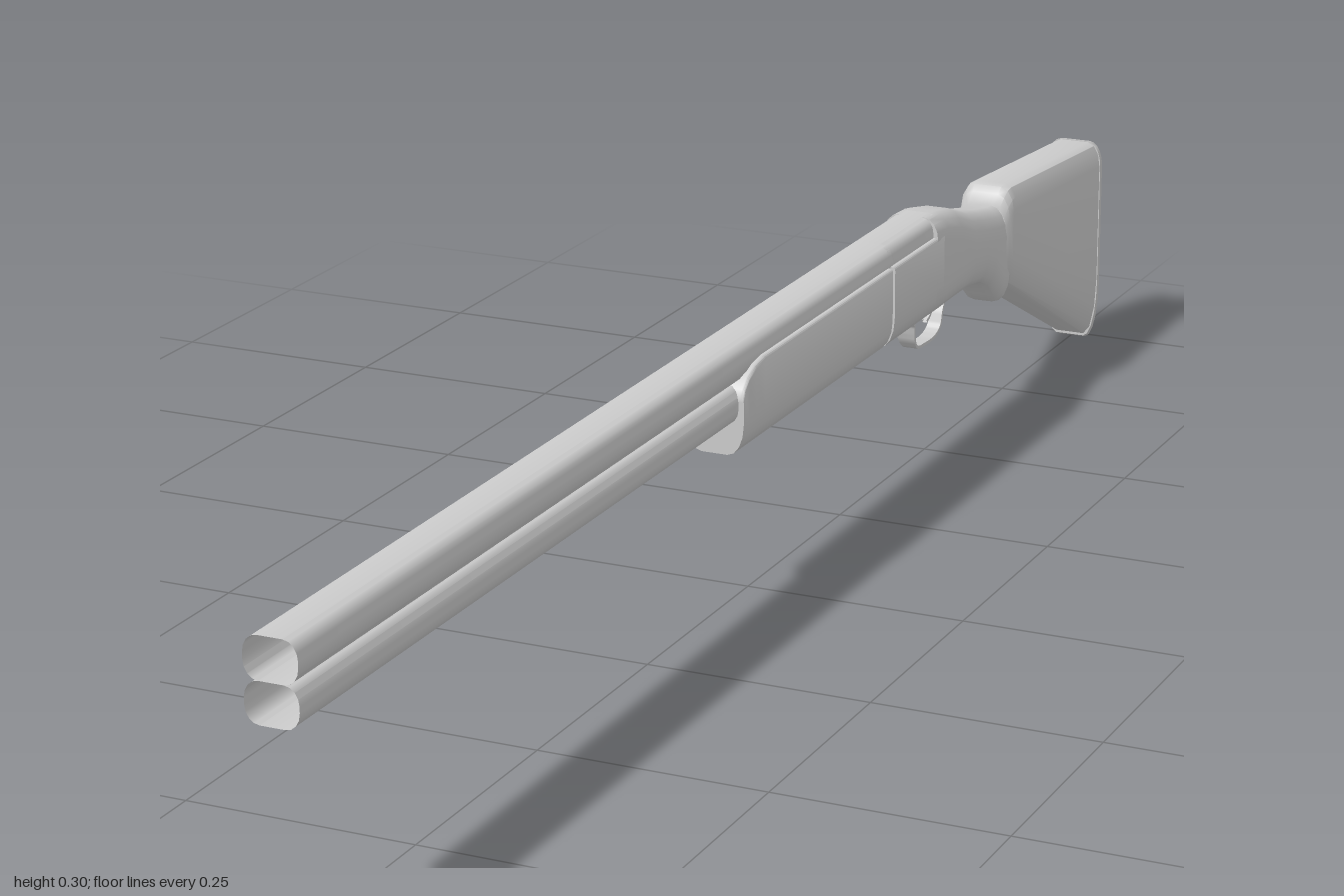
import * as THREE from 'three';
import { toCreasedNormals } from 'three/addons/utils/BufferGeometryUtils.js';

const grey = new THREE.MeshStandardMaterial({ color: 0xcccccc });
const greyDouble = new THREE.MeshStandardMaterial({ color: 0xcccccc, side: THREE.DoubleSide });

// Closed outline with elliptical corners, counter-clockwise seen from +z.
// flatTop / flatBot: half width of the flats; hTop / hBot: height of the corners.
function ring([z, top, bot, half, flatTop, hTop, flatBot, hBot], segs) {
  const corners = [
    [1, top, flatTop, hTop, 0], [-1, top, flatTop, hTop, 1],
    [-1, bot, flatBot, -hBot, 0], [1, bot, flatBot, -hBot, 1],
  ];
  const points = [];
  for (const [side, y, flat, h, reverse] of corners) {
    for (let i = 0; i <= segs; i++) {
      const a = ((reverse ? segs - i : i) / segs) * Math.PI / 2;
      points.push([side * (flat + (half - flat) * Math.cos(a)), y - h + h * Math.sin(a), z]);
    }
  }
  return points;
}

// Skin over a row of outlines running from +z to -z.
function loft(name, sections, { segs = 4, openFront = false, material = grey, crease = 0.6 } = {}) {
  const rings = sections.map((s) => ring(s, segs));
  const n = rings[0].length;
  const positions = rings.flat(2);
  const index = [];
  for (let r = 0; r < rings.length - 1; r++) {
    for (let j = 0; j < n; j++) {
      const k = (j + 1) % n;
      const a = r * n + j, b = r * n + k, c = a + n, d = b + n;
      index.push(a, c, b, b, c, d);
    }
  }
  const last = (rings.length - 1) * n;
  for (let j = 1; j < n - 1; j++) {
    if (!openFront) index.push(0, j, j + 1);
    index.push(last, last + j + 1, last + j);
  }
  const geometry = new THREE.BufferGeometry();
  geometry.setAttribute('position', new THREE.Float32BufferAttribute(positions, 3));
  geometry.setIndex(index);
  const mesh = new THREE.Mesh(toCreasedNormals(geometry, crease), material);
  mesh.name = name;
  return mesh;
}

// Flat strip following a curve in the z-y plane; width tapers from w0 to w1.
function strip(name, points, w0, w1, thickness, steps = 24) {
  const curve = new THREE.CatmullRomCurve3(points.map(([z, y]) => new THREE.Vector3(0, y, z)));
  const positions = [], index = [];
  for (let i = 0; i <= steps; i++) {
    const t = i / steps;
    const p = curve.getPoint(t), d = curve.getTangent(t);
    const w = w0 + (w1 - w0) * Math.min(1, t * 2.5);
    for (const [sx, sn] of [[1, 1], [-1, 1], [-1, -1], [1, -1]]) {
      positions.push(sx * w, p.y + d.z * sn * thickness, p.z - d.y * sn * thickness);
    }
  }
  for (let i = 0; i < steps; i++) {
    for (let j = 0; j < 4; j++) {
      const a = i * 4 + j, b = i * 4 + (j + 1) % 4;
      index.push(a, a + 4, b, b, a + 4, b + 4);
    }
  }
  const geometry = new THREE.BufferGeometry();
  geometry.setAttribute('position', new THREE.Float32BufferAttribute(positions, 3));
  geometry.setIndex(index);
  const mesh = new THREE.Mesh(toCreasedNormals(geometry, 0.7), greyDouble);
  mesh.name = name;
  return mesh;
}

export function createModel() {
  const model = new THREE.Group();
  model.name = 'shotgun';

  // Two stacked open barrels, running back into the receiver
  for (const [name, top, bot] of [['upperBarrel', 0.298, 0.255], ['lowerBarrel', 0.255, 0.213]]) {
    const h = 0.018;
    model.add(loft(name, [1, -0.33].map((z) => [z, top, bot, 0.028, 0.013, h, 0.013, h]),
      { openFront: true, material: greyDouble }));
  }

  // Fore-end with a rounded upper front corner
  model.add(loft('foreEnd', [
    [0.085, 0.243], [0.081, 0.252], [0.07, 0.263], [0.053, 0.271], [0.03, 0.275], [-0.317, 0.275],
  ].map(([z, top]) => [z, top, 0.179, 0.034, 0.03, 0.004, 0.015, 0.035])));

  // Receiver: shouldered sides with a narrower top
  model.add(loft('receiver', [-0.323, -0.47].map((z) =>
    [z, 0.275, 0.179, 0.034, 0.03, 0.004, 0.015, 0.035])));
  model.add(loft('receiverTop', [-0.323, -0.47].map((z) =>
    [z, 0.298, 0.24, 0.028, 0.013, 0.018, 0.013, 0.018])));

  // Wrist sweeping down from the receiver to the grip
  model.add(loft('wrist', [
    [-0.45, 0.298, 0.179, 0.034, 0.016, 0.026, 0.015, 0.035],
    [-0.485, 0.297, 0.179, 0.034, 0.015, 0.03, 0.015, 0.035],
    [-0.53, 0.288, 0.179, 0.033, 0.013, 0.034, 0.014, 0.035],
    [-0.58, 0.271, 0.178, 0.031, 0.011, 0.036, 0.013, 0.035],
    [-0.62, 0.262, 0.172, 0.03, 0.01, 0.036, 0.012, 0.035],
    [-0.645, 0.257, 0.161, 0.03, 0.01, 0.036, 0.012, 0.035],
    [-0.662, 0.254, 0.146, 0.03, 0.01, 0.036, 0.012, 0.035],
    [-0.675, 0.253, 0.134, 0.03, 0.01, 0.036, 0.01, 0.035],
    [-0.688, 0.252, 0.13, 0.03, 0.01, 0.036, 0.009, 0.035],
    [-0.698, 0.252, 0.138, 0.028, 0.01, 0.036, 0.009, 0.035],
    [-0.705, 0.252, 0.15, 0.026, 0.01, 0.036, 0.009, 0.035],
  ]));

  // Butt stock with a raised comb
  model.add(loft('stock', [
    [-0.676, 0.254, 0.165, 0.029, 0.012, 0.03, 0.012, 0.035],
    [-0.682, 0.266, 0.157, 0.032, 0.016, 0.03, 0.014, 0.035],
    [-0.69, 0.273, 0.152, 0.034, 0.017, 0.03, 0.016, 0.035],
    [-0.7, 0.275, 0.147, 0.034, 0.018, 0.03, 0.017, 0.037],
    [-0.984, 0.256, 0.006, 0.034, 0.018, 0.03, 0.018, 0.075],
  ], { segs: 3 }));

  // Rounded butt pad
  model.add(loft('buttPad', [
    [-0.984, 0.257, 0.003, 0.035, 0.018, 0.03, 0.018, 0.075],
    [-0.991, 0.256, 0, 0.035, 0.018, 0.03, 0.018, 0.075],
    [-0.997, 0.252, 0.004, 0.032, 0.016, 0.03, 0.016, 0.075],
    [-1, 0.244, 0.012, 0.026, 0.012, 0.03, 0.012, 0.07],
  ], { segs: 5, crease: 0.8 }));

  // Trigger guard and trigger
  model.add(strip('triggerGuard', [
    [-0.425, 0.181], [-0.436, 0.172], [-0.441, 0.155], [-0.452, 0.141], [-0.48, 0.137],
    [-0.51, 0.138], [-0.526, 0.146], [-0.532, 0.162], [-0.542, 0.176], [-0.555, 0.181],
  ], 0.014, 0.008, 0.0018, 36));
  model.add(strip('trigger', [
    [-0.515, 0.182], [-0.513, 0.172], [-0.505, 0.163], [-0.495, 0.159],
  ], 0.004, 0.003, 0.002, 8));

  return model;
}
